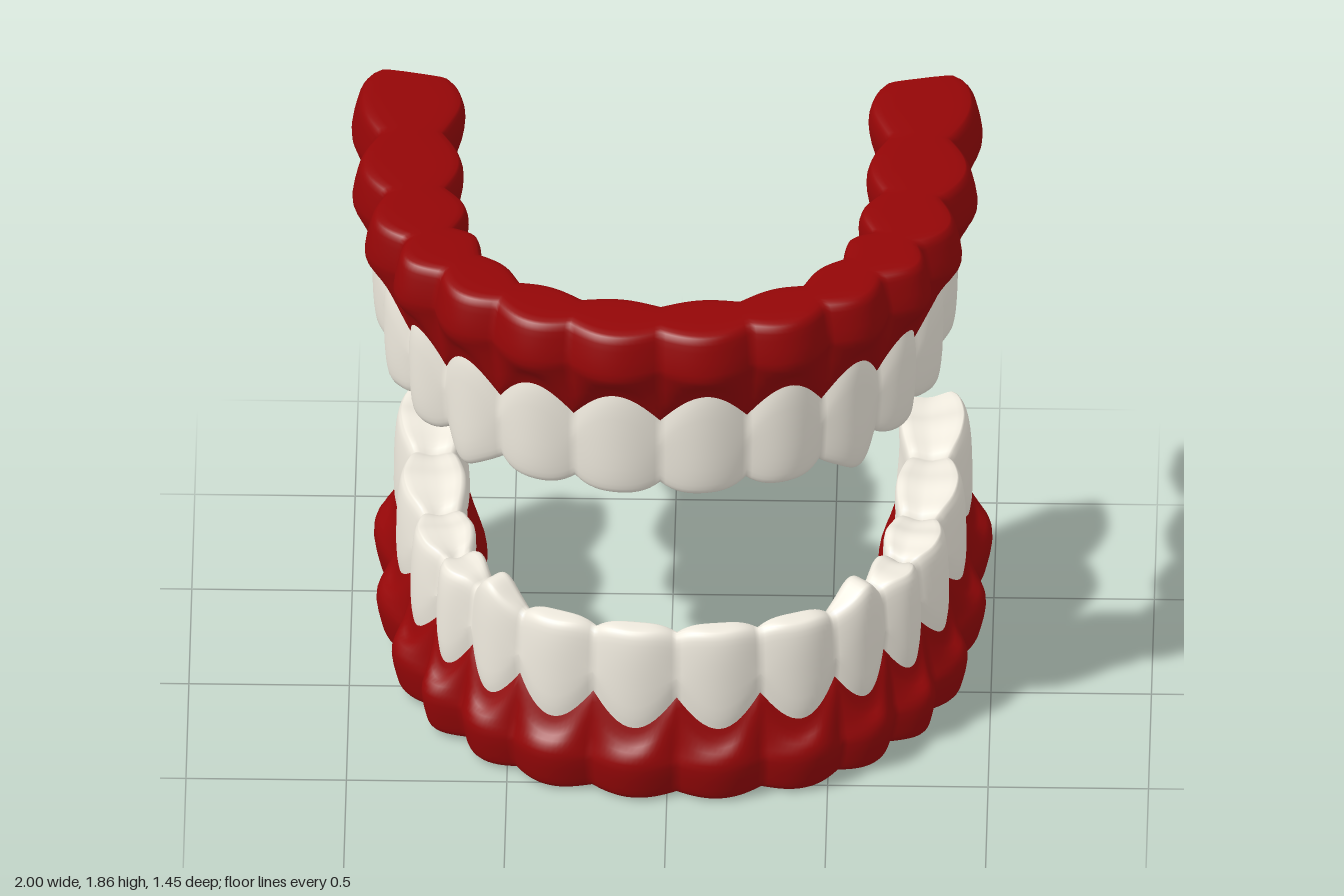
import * as THREE from 'three';

const GUM = new THREE.MeshStandardMaterial({ color: 0x940607 });
const ENAMEL = new THREE.MeshStandardMaterial({ color: 0xefeade });
const GREY = new THREE.MeshStandardMaterial({ color: 0xcccccc });

const TEETH = 7;   // teeth on each side of the arch
const STEPS = 16;  // slices per tooth

// Lists give values at the gaps between teeth, from the middle to the back
const WIDTH = [0.07, 0.07, 0.08, 0.105, 0.125, 0.15, 0.16, 0.165];
const UPPER = {
  arch: [[0, 0.615], [0.27, 0.58], [0.5, 0.49], [0.67, 0.34], [0.78, 0.17], [0.845, -0.07], [0.87, -0.38], [0.87, -0.705]],
  edge: [0.66, 0.66, 0.652, 0.645, 0.635, 0.625, 0.61, 0.605],
  line: 0.378, lip: 0.025, up: false, worn: true,
  toY: (h) => 1.865 - h,
};
const LOWER = {
  arch: [[0, 0.535], [0.26, 0.505], [0.49, 0.42], [0.64, 0.28], [0.745, 0.13], [0.815, -0.1], [0.85, -0.4], [0.85, -0.695]],
  edge: [0.61, 0.61, 0.605, 0.6, 0.595, 0.595, 0.605, 0.615],
  line: 0.358, lip: 0, up: true, worn: false,
  toY: (h, z) => h + 0.047 * Math.max(0, 0.6 - z) / 1.3,
};

// Measures of the jaw at distance u (in teeth) from the middle
function toothAt(jaw, u) {
  const k = Math.min(TEETH - 1, Math.floor(u)), s = u - k;
  const mix = (list) => THREE.MathUtils.lerp(list[k], list[k + 1], s);
  const b = Math.sin(Math.PI * s * (k === TEETH - 1 ? 0.85 : 1));
  const molar = THREE.MathUtils.smoothstep(u, 2.8, 4);
  const width = mix(WIDTH) + b * (0.006 + 0.024 * molar);
  let edge = mix(jaw.edge) - 0.028 * (1 - b) ** 2;
  if (k === 2) edge += 0.048 * Math.sin(Math.PI * s ** 1.35) ** 2;      // canine point
  if (k > 3) edge += 0.005 * Math.cos(4 * Math.PI * s) * b;              // molar cusps
  return {
    b, molar, width, edge,
    base: width + 0.035 - 0.015 * molar + 0.022 * b,
    face: (0.028 + 0.014 * molar) * b,
    lip: jaw.lip * (1 - THREE.MathUtils.smoothstep(u, 0.6, 2.2)),
    line: jaw.line - 0.105 * b,
    back: jaw.line - 0.02 - 0.08 * b,
  };
}

// Sections: [distance outward, height from the gum base]
function gumSection({ b, molar, width: w, base, face: f, lip, line, back }) {
  const out = f + (0.014 + 0.006 * molar) * b + lip;
  return [
    [f, line], [f + 0.018 + lip * 0.3, line - 0.045], [out + 0.038, 0.18], [out + 0.05, 0.13], [out + 0.034, 0.045],
    [out + 0.02, 0.012], [out - 0.01, 0], [-base * 0.5, 0], [-base + 0.02, 0.004], [-base, 0.022],
    [-base - 0.008, 0.07], [-base + 0.004, 0.15], [-w - 0.004, back - 0.04], [-w * 0.95, back],
  ];
}

function toothSection({ molar, width: w, edge: e, face: f, line, back }) {
  const inner = w * THREE.MathUtils.lerp(0.85, 0.92, molar);
  return [
    [f, line], [f + 0.008, line + 0.07], [f + 0.006, e - 0.13], [f - 0.002, e - 0.04], [f - 0.014, e - 0.008],
    [f - 0.03, e], [-inner * 0.5, e - 0.014 * molar], [-inner + 0.018, e - 0.004], [-inner, e - 0.035],
    [-w * 0.92, e - 0.13], [-w * 0.97, back + 0.07], [-w * 0.95, back],
  ];
}

// Sweeps a section round the arch and closes both ends
function sweep(jaw, section, flip) {
  const half = jaw.arch.map(([x, z]) => new THREE.Vector3(x, 0, z));
  const left = half.slice(1).reverse().map((p) => new THREE.Vector3(-p.x, 0, p.z));
  const curve = new THREE.CatmullRomCurve3([...left, ...half]);
  const count = 2 * TEETH * STEPS, pos = [], index = [];
  let rows = 0;
  for (let i = 0; i <= count; i++) {
    const p = curve.getPoint(i / count), t = curve.getTangent(i / count);
    const u = Math.abs(i / STEPS - TEETH), tooth = toothAt(jaw, u);
    const points = section(tooth).map(([n, h]) => new THREE.Vector2(n, h));
    const loop = new THREE.SplineCurve(points).getPoints(30);
    rows = loop.length;
    // the ends are slanted and rounded in plan
    const slant = 0.2 * THREE.MathUtils.smoothstep(u, 6.2, 7);
    const round = Math.max(0, (u - 6.75) / 0.25);
    const squeeze = 1 - 0.14 * (1 - Math.sqrt(1 - round * round));
    // the last upper left tooth has its outer corner cut off at a slope
    const cut = jaw.worn && p.x > 0 && u > 6.48;
    for (const { x, y } of loop) {
      const mid = -tooth.width * 0.5;
      let n = mid + (x - mid) * squeeze;
      if (cut && y > 0.385) n = Math.min(n, Math.max(0.03 - (y - 0.385) * 0.8, -0.13));
      const z = p.z + (t.x - slant) * n;
      pos.push(p.x - t.z * n, jaw.toY(y, z), z);
    }
  }
  const tri = (a, b, c) => (flip ? index.push(a, c, b) : index.push(a, b, c));
  for (let i = 0; i < count; i++) {
    for (let j = 0; j < rows - 1; j++) {
      const a = i * rows + j, b = a + rows;
      tri(a, b, a + 1);
      tri(b, b + 1, a + 1);
    }
  }
  // end caps, slightly domed
  for (const end of [0, count]) {
    const first = pos.length / 3, mid = [0, 0, 0];
    for (let j = 0; j < rows; j++) {
      for (let c = 0; c < 3; c++) {
        const v = pos[(end * rows + j) * 3 + c];
        pos.push(v);
        mid[c] += v / rows;
      }
    }
    const centre = pos.length / 3;
    pos.push(mid[0], mid[1], mid[2] - 0.012);
    for (let j = 0; j < rows; j++) {
      const a = first + j, b = first + (j + 1) % rows;
      if (end === 0) tri(centre, a, b);
      else tri(centre, b, a);
    }
  }
  const geometry = new THREE.BufferGeometry();
  geometry.setAttribute('position', new THREE.Float32BufferAttribute(pos, 3));
  geometry.setIndex(index);
  geometry.computeVertexNormals();
  return geometry;
}

function part(name, geometry, material) {
  const mesh = new THREE.Mesh(geometry, material);
  mesh.name = name;
  return mesh;
}

function makeJaw(name, jaw, x) {
  const group = new THREE.Group();
  group.name = name + 'Jaw';
  group.add(part(name + 'Gum', sweep(jaw, gumSection, jaw.up), GUM));
  group.add(part(name + 'Teeth', sweep(jaw, toothSection, !jaw.up), ENAMEL));
  group.position.x = x;
  return group;
}

export function createModel() {
  const model = new THREE.Group();
  model.name = 'openJaws';
  model.add(makeJaw('upper', UPPER, -0.02), makeJaw('lower', LOWER, 0.03));

  // small cube between the open ends
  const cube = part('cube', new THREE.BoxGeometry(0.15, 0.15, 0.15), GREY);
  cube.position.set(0.003, 0.725, -0.652);
  model.add(cube);
  return model;
}
